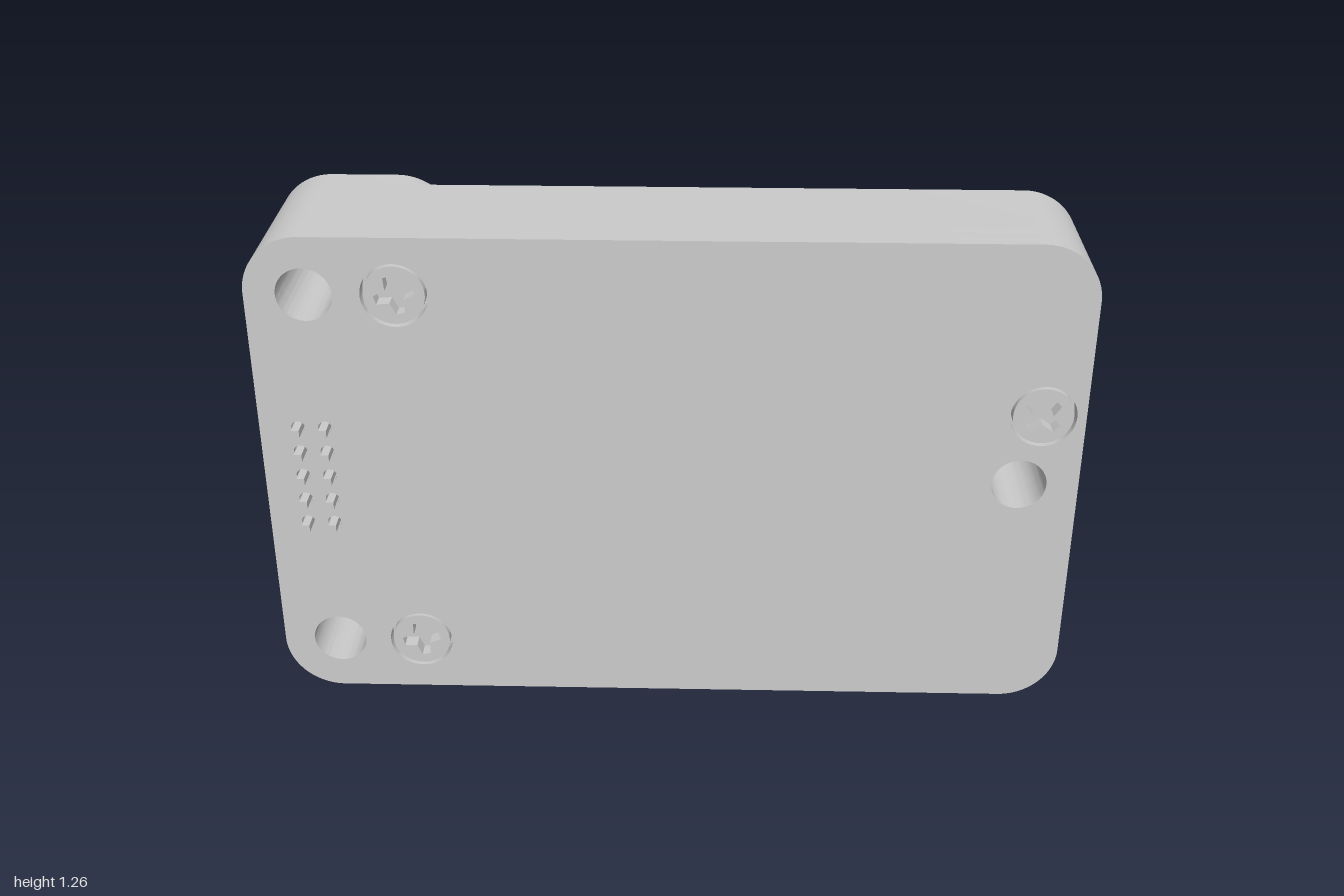
import * as THREE from 'three';
import { toCreasedNormals } from 'three/addons/utils/BufferGeometryUtils.js';

const H = 1.265, R = 0.143, CX = 1 - R, PI = Math.PI;
const Z = { foot: -0.225, back: -0.157, floor: 0.1, seat: 0.15, front: 0.19, pin: 0.225 };
const LOW = 0.146, HIGH = 1.12;
const mounts = [[-0.857, HIGH], [-0.857, LOW], [0.855, 0.634]];
const screws = [[-0.645, HIGH, 0.28], [-0.645, LOW, 0.2], [0.897, 0.822, PI / 4]];

const material = new THREE.MeshStandardMaterial({ color: 0xcccccc });

// Circular outline or hole
function circle(x, y, r, Type = THREE.Path) {
  const p = new Type();
  p.absarc(x, y, r, 0, PI * 2, false);
  return p;
}

// Upright slot of half width r, its arc centres d above and below the middle
function slot(x, y, r, d) {
  const p = new THREE.Path();
  p.absarc(x, y + d, r, 0, PI, false);
  p.absarc(x, y - d, r, PI, PI * 2, false);
  p.closePath();
  return p;
}

// Shape extruded between two depths, smooth round its curves
function slab(name, shape, holes, z0, z1) {
  shape.holes.push(...holes);
  const geo = new THREE.ExtrudeGeometry(shape, { depth: z1 - z0, bevelEnabled: false, curveSegments: 32 });
  const mesh = new THREE.Mesh(toCreasedNormals(geo, 0.5), material);
  mesh.position.z = z0;
  mesh.name = name;
  return mesh;
}

function box(name, w, h, z0, z1, x, y) {
  const mesh = new THREE.Mesh(new THREE.BoxGeometry(w, h, z1 - z0), material);
  mesh.position.set(x, y, (z0 + z1) / 2);
  mesh.name = name;
  return mesh;
}

// Rounded rectangle of the front plate
function plateOutline() {
  const s = new THREE.Shape();
  s.absarc(CX, R, R, -PI / 2, 0, false);
  s.absarc(CX, H - R, R, 0, PI / 2, false);
  s.absarc(-CX, H - R, R, PI / 2, PI, false);
  s.absarc(-CX, R, R, PI, PI * 1.5, false);
  s.closePath();
  return s;
}

// Housing outline with the connector bay cut between two rounded lugs
function housingOutline() {
  const s = new THREE.Shape(), f = 0.07, fx = -0.717 - f;
  s.absarc(CX, R, R, -PI / 2, 0, false);
  s.absarc(CX, H - R, R, 0, PI / 2, false);
  s.absarc(-CX, H - R, R, PI / 2, PI * 1.5, false);
  s.absarc(fx, H - 2 * R - f, f, PI / 2, 0, true);
  s.absarc(fx, 2 * R + f, f, 0, -PI / 2, true);
  s.absarc(-CX, R, R, PI / 2, PI * 1.5, false);
  s.closePath();
  return s;
}

// Long foot covering a mounting hole and a screw pocket
function footOutline(y) {
  const s = new THREE.Shape();
  s.absarc(-0.692, y, R, -PI / 2, PI / 2, false);
  s.absarc(-CX, y, R, PI / 2, PI * 1.5, false);
  s.closePath();
  return s;
}

// Four-armed driver recess
function crossPath(angle) {
  const pts = [];
  for (let i = 0; i < 4; i++) {
    const a = angle + i * PI / 2;
    for (const [u, v] of [[0.048, -0.011], [0.048, 0.011], [0.017, 0.017]]) {
      pts.push(new THREE.Vector2(u * Math.cos(a) - v * Math.sin(a), u * Math.sin(a) + v * Math.cos(a)));
    }
  }
  return new THREE.Path(pts);
}

export function createModel() {
  const model = new THREE.Group();
  model.name = 'sensorModule';

  const pins = [];
  for (const x of [-0.905, -0.839]) {
    for (let i = 0; i < 5; i++) pins.push([x, 0.5 + i * 0.0668]);
  }
  const mountHoles = () => mounts.map(([x, y]) => circle(x, y, 0.067));
  const pinHoles = () => pins.map(([x, y]) => circle(x, y, 0.017));
  const highPocket = () => slot(-0.648, HIGH, 0.067, 0.037);
  const lowPocket = () => circle(-0.648, LOW, 0.067);

  // Housing and the two layers of the front plate
  model.add(slab('housing', housingOutline(),
    [...mountHoles(), highPocket(), lowPocket(), circle(0.897, 0.822, 0.03)], Z.back, Z.floor));
  model.add(slab('frontPlateInner', plateOutline(), [...mountHoles(), ...pinHoles()], Z.floor, Z.seat));
  model.add(slab('frontPlateOuter', plateOutline(),
    [...mountHoles(), ...pinHoles(), ...screws.map(([x, y]) => circle(x, y, 0.08))], Z.seat, Z.front));

  // Rear feet
  model.add(slab('upperFoot', footOutline(H - R), [circle(-0.857, HIGH, 0.067), highPocket()], Z.foot, Z.back));
  model.add(slab('lowerFoot', footOutline(R), [circle(-0.857, LOW, 0.067), lowPocket()], Z.foot, Z.back));
  model.add(slab('roundFoot', circle(CX, 0.634, R, THREE.Shape), [circle(0.855, 0.634, 0.067)], Z.foot, Z.back));

  // Screws sunk into the front
  for (const [x, y, angle] of screws) {
    const head = slab('screwHead', circle(0, 0, 0.073, THREE.Shape), [crossPath(angle)], Z.seat, Z.front - 0.002);
    head.position.x = x;
    head.position.y = y;
    model.add(head);
  }

  // Pin header in the bay
  model.add(box('headerBlock', 0.17, 0.335, 0.06, Z.floor, -0.872, 0.634));
  for (const [x, y] of pins) model.add(box('headerPin', 0.019, 0.019, -0.095, Z.pin, x, y));

  return model;
}
